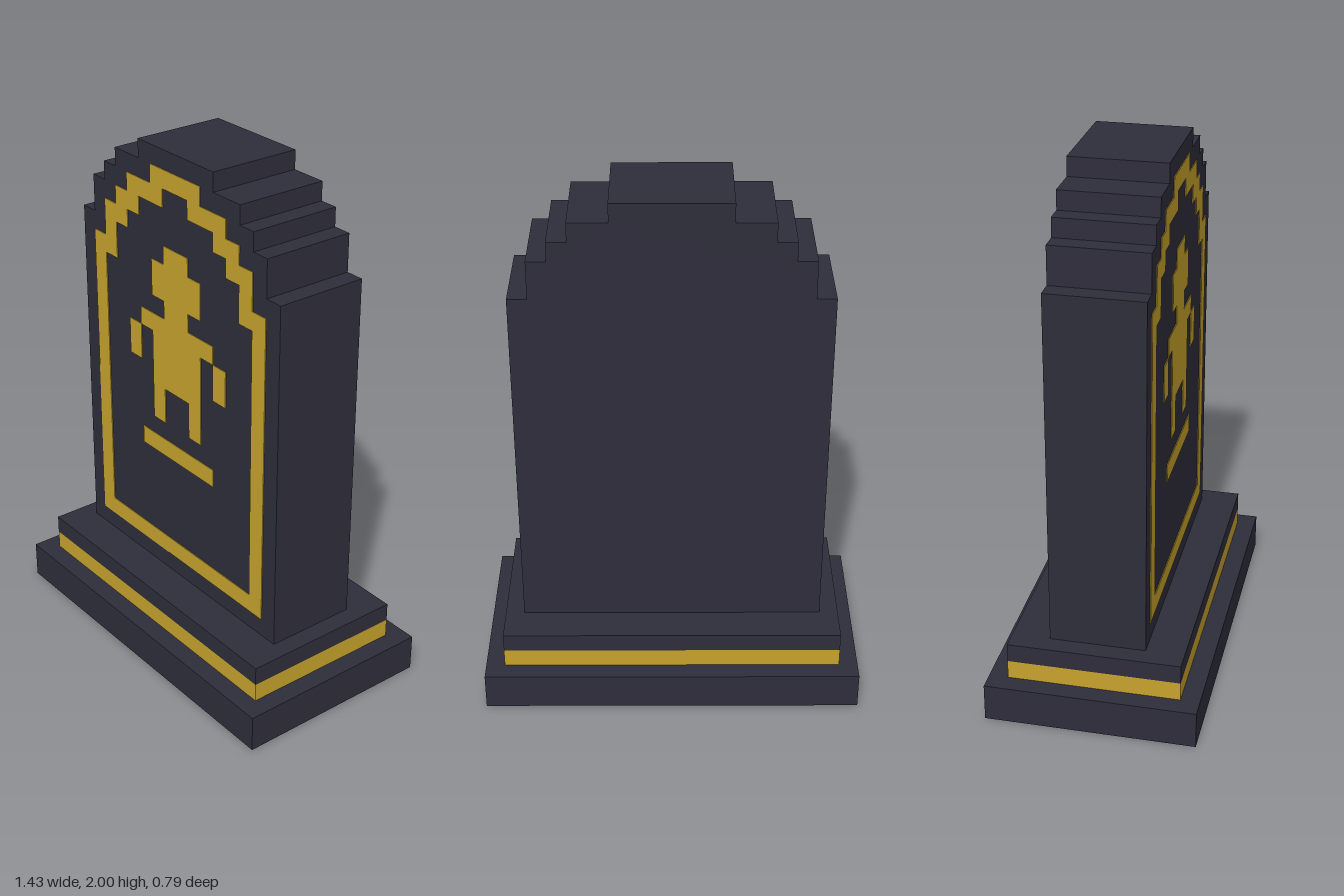
import * as THREE from 'three';

const U = 2 / 28; // one block of the stepped design
const SLAB_HALF_DEPTH = 2.5 * U;
const PLATE = 0.003;

// Closed outline from its right half (bottom to top), mirrored to the left
function mirrored(half) {
  const left = half.map(([x, y]) => [-x, y]).reverse();
  return [...half, ...left].map(([x, y]) => new THREE.Vector2(x * U, y * U));
}

function rect(x0, y0, x1, y1) {
  return [[x0, y0], [x1, y0], [x1, y1], [x0, y1]].map(([x, y]) => new THREE.Vector2(x * U, y * U));
}

export function createModel() {
  const stone = new THREE.MeshStandardMaterial({ color: 0x2e2d3b });
  stone.name = 'darkStone';
  const gold = new THREE.MeshStandardMaterial({ color: 0xc6a22c });
  gold.name = 'gold';

  const group = new THREE.Group();
  group.name = 'gravestone';

  const add = (name, geometry, material) => {
    const mesh = new THREE.Mesh(geometry, material);
    mesh.name = name;
    group.add(mesh);
    return mesh;
  };

  // Stepped base: half width, half depth, bottom and top in blocks
  const tier = (name, hw, hd, y0, y1, material) => {
    const mesh = add(name, new THREE.BoxGeometry(2 * hw * U, (y1 - y0) * U, 2 * hd * U), material);
    mesh.position.y = ((y0 + y1) / 2) * U;
  };
  tier('base', 10, 5.5, 0, 2, stone);
  tier('plinthBand', 9, 4.5, 2, 3, gold);
  tier('plinth', 9, 4.5, 3, 4, stone);

  // Upright slab with a stepped arch
  const slab = new THREE.Shape(mirrored([
    [8, 4], [8, 23], [7, 23], [7, 25], [6, 25], [6, 26], [5, 26], [5, 27], [3, 27], [3, 28],
  ]));
  const slabGeometry = new THREE.ExtrudeGeometry(slab, { depth: 2 * SLAB_HALF_DEPTH, bevelEnabled: false });
  slabGeometry.translate(0, 0, -SLAB_HALF_DEPTH);
  add('slab', slabGeometry, stone);

  // Thin gold inlays on the front face
  const inlay = (name, outline, hole) => {
    const shape = new THREE.Shape(outline);
    if (hole) shape.holes.push(new THREE.Path(hole));
    const mesh = add(name, new THREE.ExtrudeGeometry(shape, { depth: PLATE, bevelEnabled: false }), gold);
    mesh.position.z = SLAB_HALF_DEPTH;
  };

  inlay('border',
    mirrored([[7, 5], [7, 22], [6, 22], [6, 24], [5, 24], [5, 25], [4, 25], [4, 26], [2, 26], [2, 27]]),
    mirrored([[6, 6], [6, 21], [5, 21], [5, 23], [4, 23], [4, 24], [3, 24], [3, 25], [1, 25], [1, 26]]));

  // Figure: legs, torso, shoulders, neck and head in one outline
  inlay('figure', mirrored([
    [1, 15], [1, 13], [2, 13], [2, 18], [3, 18], [3, 19], [1, 19], [1, 20], [2, 20], [2, 22], [1, 22], [1, 23],
  ]));
  inlay('leftArm', rect(3, 16, 4, 18));
  inlay('rightArm', rect(-4, 16, -3, 18));
  inlay('groundLine', rect(-3, 11, 3, 12));

  return group;
}
